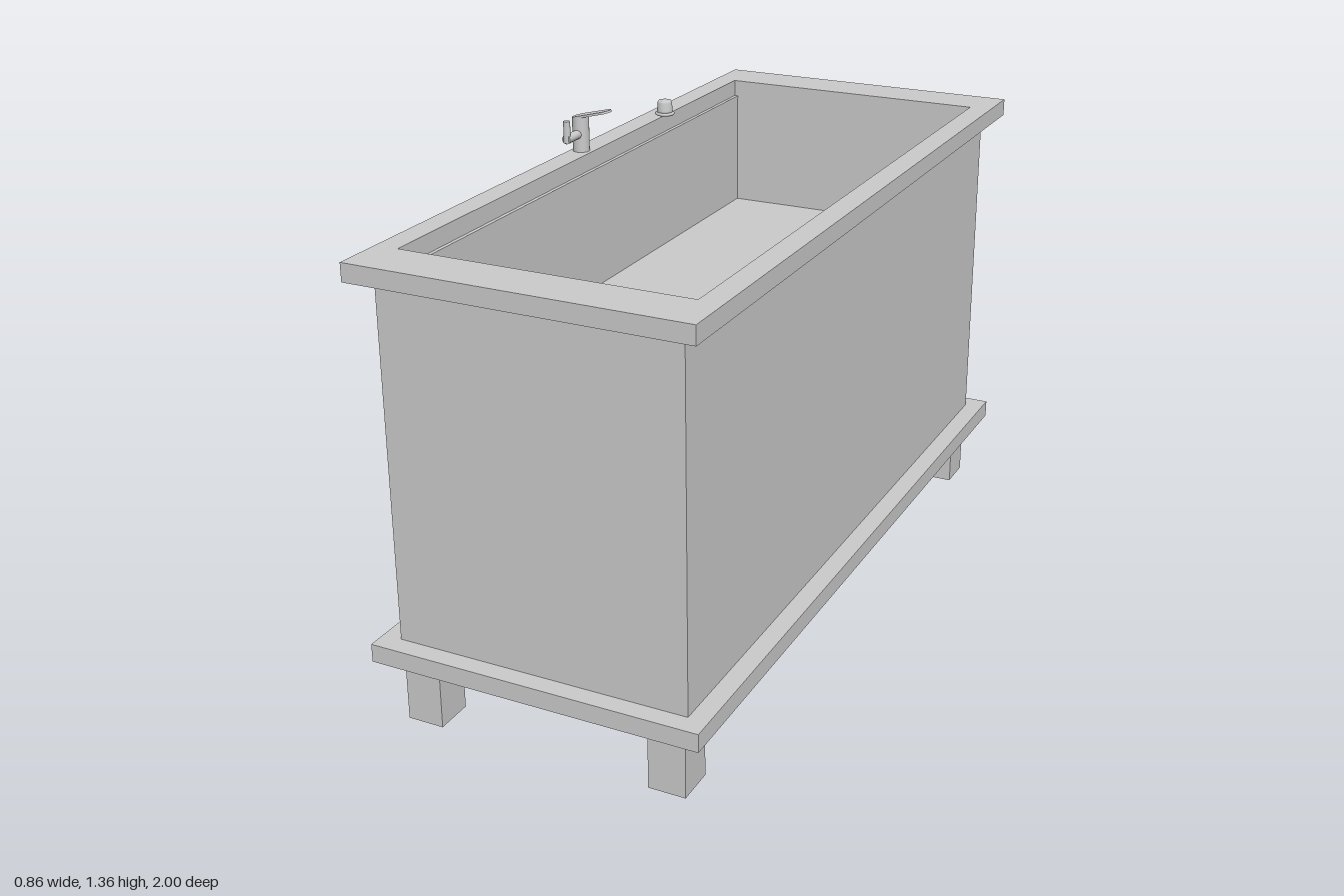
import * as THREE from 'three';

const material = new THREE.MeshStandardMaterial({ color: 0xcccccc, side: THREE.DoubleSide });

function part(parent, name, geometry, x = 0, y = 0, z = 0) {
  const mesh = new THREE.Mesh(geometry, material);
  mesh.name = name;
  mesh.position.set(x, y, z);
  parent.add(mesh);
  return mesh;
}

// Rectangle path around the origin, by half sizes
function rect(Type, hx, hz) {
  return new Type([[-hx, -hz], [hx, -hz], [hx, hz], [-hx, hz]].map(p => new THREE.Vector2(...p)));
}

function frameShape(hx, hz, holeX, holeZ) {
  const shape = rect(THREE.Shape, hx, hz);
  shape.holes.push(rect(THREE.Path, holeX, holeZ));
  return shape;
}

// Thin upright band along the four sides of a rectangle
function skirt(parent, name, hx, hz, height, y) {
  for (const s of [-1, 1]) {
    part(parent, name, new THREE.PlaneGeometry(2 * hx, height), 0, y, s * hz).rotation.y = s > 0 ? 0 : Math.PI;
    part(parent, name, new THREE.PlaneGeometry(2 * hz, height), s * hx, y, 0).rotation.y = s * Math.PI / 2;
  }
}

export function createModel() {
  const model = new THREE.Group();
  model.name = 'bathtub';

  // Feet and base plate
  for (const x of [-1, 1]) for (const z of [-1, 1])
    part(model, 'foot', new THREE.BoxGeometry(0.095, 0.17, 0.1), x * 0.325, 0.085, z * 0.9);
  part(model, 'basePlate', new THREE.BoxGeometry(0.86, 0.047, 2), 0, 0.1925, 0);

  // Tub walls with a raised floor inside
  const walls = new THREE.ExtrudeGeometry(frameShape(0.38, 0.95, 0.36, 0.87), { depth: 0.907, bevelEnabled: false });
  walls.rotateX(-Math.PI / 2);
  part(model, 'tubWalls', walls, 0, 0.215, 0);
  part(model, 'tubFloor', new THREE.BoxGeometry(0.72, 0.02, 1.74), 0, 0.79, 0);

  // Rim: a top frame with outer and inner skirts, open below
  const rim = new THREE.Group();
  rim.name = 'rim';
  model.add(rim);
  const rimTop = new THREE.ShapeGeometry(frameShape(0.43, 1, 0.37, 0.87));
  rimTop.rotateX(-Math.PI / 2);
  part(rim, 'rimTop', rimTop, 0, 1.168, 0);
  skirt(rim, 'outerSkirt', 0.43, 1, 0.046, 1.145);
  skirt(rim, 'innerSkirt', 0.37, 0.87, 0.046, 1.145);

  // Tap: pillar with a slanted top, lever, and side outlet
  const tap = new THREE.Group();
  tap.name = 'tap';
  tap.position.set(-0.402, 1.168, 0);
  model.add(tap);
  const pillar = new THREE.CylinderGeometry(0.022, 0.022, 0.092, 24);
  const p = pillar.attributes.position;
  for (let i = 0; i < p.count; i++)
    if (p.getY(i) > 0) p.setY(i, p.getY(i) + p.getX(i) * 0.25);
  part(tap, 'tapPillar', pillar, 0, 0.046, 0);

  // Rounded flat lever sloping up over the tub
  const leverShape = new THREE.Shape();
  leverShape.absarc(0, 0, 0.021, Math.PI / 2, Math.PI * 1.5);
  leverShape.absarc(0.075, 0, 0.018, -Math.PI / 2, Math.PI / 2);
  const leverGeo = new THREE.ExtrudeGeometry(leverShape, { depth: 0.006, bevelEnabled: false, curveSegments: 10 });
  leverGeo.rotateX(-Math.PI / 2);
  part(tap, 'tapLever', leverGeo, 0, 0.089, 0).rotation.z = 0.25;

  part(tap, 'outletArm', new THREE.CylinderGeometry(0.012, 0.012, 0.06, 20), 0, 0.047, 0.046).rotation.x = Math.PI / 2;
  part(tap, 'outletStem', new THREE.CylinderGeometry(0.009, 0.009, 0.057, 20), 0, 0.066, 0.071);

  // Plug: rounded cap on a sealing ring
  const plug = new THREE.Group();
  plug.name = 'plug';
  plug.position.set(-0.108, 1.318, 0.09);
  model.add(plug);
  const profile = [[0, 0.003], [0.02, 0.003], [0.019, 0.012], [0.018, 0.031], [0.016, 0.036], [0, 0.037]];
  part(plug, 'plugCap', new THREE.LatheGeometry(profile.map(q => new THREE.Vector2(...q)), 28));
  part(plug, 'plugSeal', new THREE.TorusGeometry(0.02, 0.004, 10, 32), 0, 0.004, 0).rotation.x = Math.PI / 2;

  return model;
}
